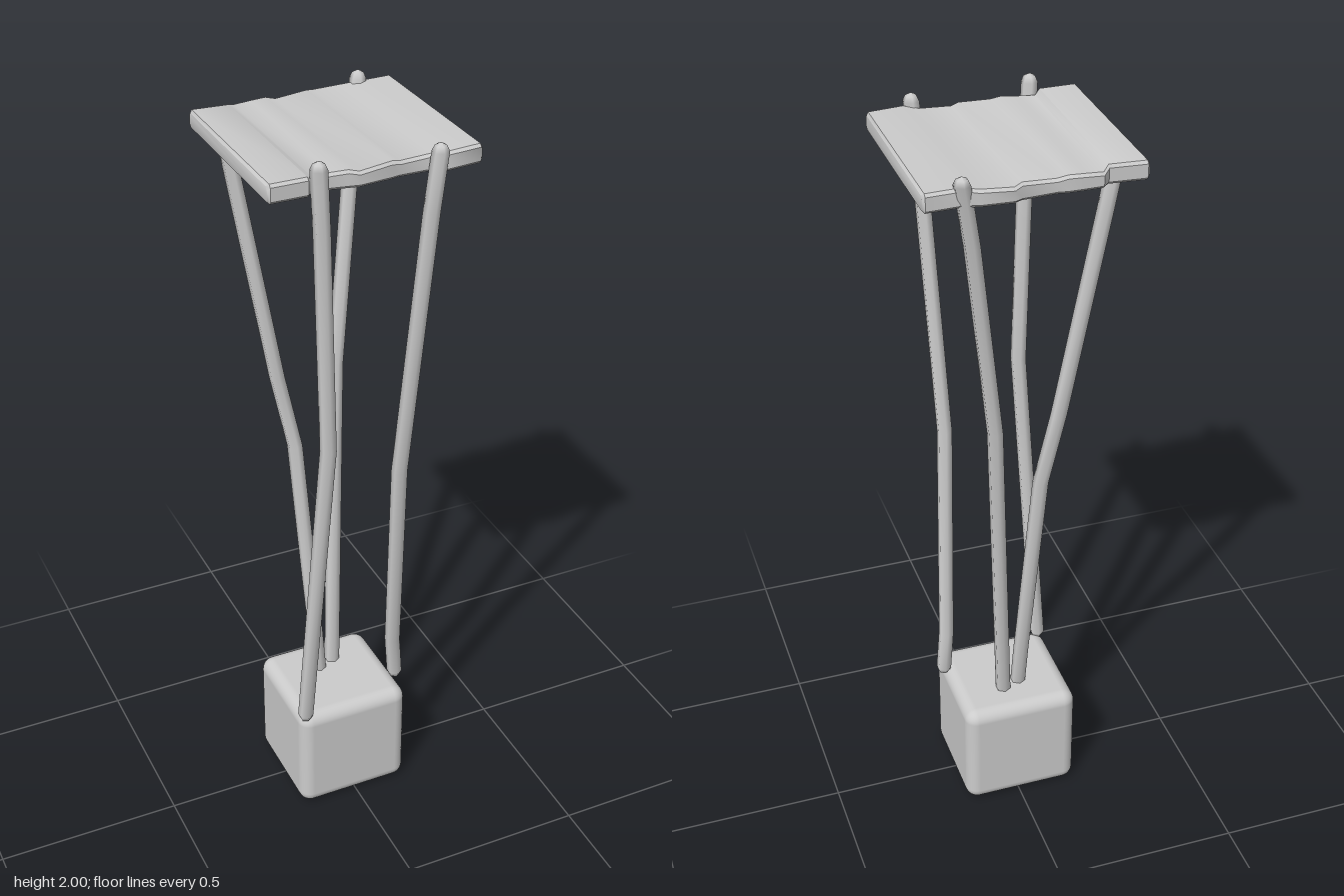
import * as THREE from 'three';
import { toCreasedNormals } from 'three/addons/utils/BufferGeometryUtils.js';
import { RoundedBoxGeometry } from 'three/addons/geometries/RoundedBoxGeometry.js';

const material = new THREE.MeshStandardMaterial({ color: 0xcccccc, roughness: 0.8 });

// Skin a list of rings (each a list of [x, y, z]) and close both ends
function loft(rings) {
  const n = rings[0].length, index = [];
  for (let i = 0; i < rings.length - 1; i++) {
    for (let j = 0; j < n; j++) {
      const k = (j + 1) % n;
      const a = i * n + j, c = i * n + k, b = a + n, d = c + n;
      index.push(a, b, c, b, d, c);
    }
  }
  const last = (rings.length - 1) * n;
  for (let k = 1; k < n - 1; k++) {
    index.push(0, k, k + 1, last, last + k + 1, last + k);
  }
  const geometry = new THREE.BufferGeometry();
  geometry.setAttribute('position', new THREE.Float32BufferAttribute(rings.flat(2), 3));
  geometry.setIndex(index);
  geometry.computeVertexNormals();
  return geometry;
}

// Six-sided bent pole through the given points, bottom to top, with domed tips
function pole(points, radius = 0.021) {
  const ring = ([x, y, z], r) => Array.from({ length: 6 }, (_, j) => {
    const a = (j + 0.5) * Math.PI / 3;
    return [x + r * Math.cos(a), y, z + r * Math.sin(a)];
  });
  const lift = ([x, y, z], dy) => [x, y + dy, z];
  const first = points[0], end = points[points.length - 1];
  return loft([
    ring(first, radius * 0.1), ring(lift(first, 0.006), radius * 0.7),
    ...points.map((p, i) => ring(
      i === 0 ? lift(p, 0.02) : i === points.length - 1 ? lift(p, -0.02) : p, radius)),
    ring(lift(end, -0.006), radius * 0.7), ring(end, radius * 0.1),
  ]);
}

// Uneven planked slab: stations of [x, back z, front z, top y]
function slab(stations) {
  const bottom = 1.915, c = 0.007;
  const ring = ([x, back, front, top], inset = 0) => {
    const f = front - inset, b = back + inset, t = top - inset, u = bottom + inset;
    return [
      [x, u + c, f], [x, t - c, f], [x, t, f - c], [x, t, b + c],
      [x, t - c, b], [x, u + c, b], [x, u, b + c], [x, u, f - c],
    ];
  };
  const first = stations[0], end = stations[stations.length - 1];
  return toCreasedNormals(loft([
    ring([first[0] - 0.006, ...first.slice(1)], 0.006),
    ...stations.map((s) => ring(s)),
    ring([end[0] + 0.006, ...end.slice(1)], 0.006),
  ]), 0.7);
}

export function createModel() {
  const model = new THREE.Group();
  model.name = 'platformOnPoles';
  const add = (name, geometry) => {
    const mesh = new THREE.Mesh(geometry, material);
    mesh.name = name;
    model.add(mesh);
    return mesh;
  };

  // Rounded block at the foot
  add('baseBlock', new RoundedBoxGeometry(0.32, 0.32, 0.313, 4, 0.035))
    .position.set(-0.006, 0.163, 0);

  // Four crooked poles
  const poles = {
    frontRightPole: [[-0.15, 0.31, 0.14], [-0.113, 1.22, 0.212], [-0.138, 1.82, 0.235], [-0.15, 2, 0.247]],
    backRightPole: [[-0.03, 0.3, -0.04], [-0.036, 0.45, -0.05], [-0.065, 1.04, -0.11],
      [-0.105, 1.25, -0.128], [-0.195, 1.82, -0.168], [-0.21, 1.94, -0.175]],
    backLeftPole: [[0.02, 0.3, -0.06], [0.07, 1.24, -0.147], [0.145, 1.8, -0.212], [0.178, 1.99, -0.25]],
    frontLeftPole: [[0.155, 0.31, 0.07], [0.145, 0.45, 0.073], [0.113, 1.07, 0.155],
      [0.14, 1.82, 0.234], [0.153, 1.99, 0.243]],
  };
  for (const [name, points] of Object.entries(poles)) add(name, pole(points));

  // Planked platform on top
  add('platform', slab([
    [-0.264, -0.247, 0.243, 1.963],
    [-0.172, -0.24, 0.242, 1.963],
    [-0.155, -0.256, 0.226, 1.954],
    [-0.11, -0.257, 0.228, 1.957],
    [-0.07, -0.257, 0.235, 1.959],
    [-0.045, -0.253, 0.24, 1.953],
    [0.04, -0.259, 0.231, 1.959],
    [0.06, -0.268, 0.227, 1.954],
    [0.14, -0.263, 0.227, 1.958],
    [0.175, -0.253, 0.243, 1.963],
    [0.264, -0.257, 0.233, 1.963],
  ]));

  return model;
}
